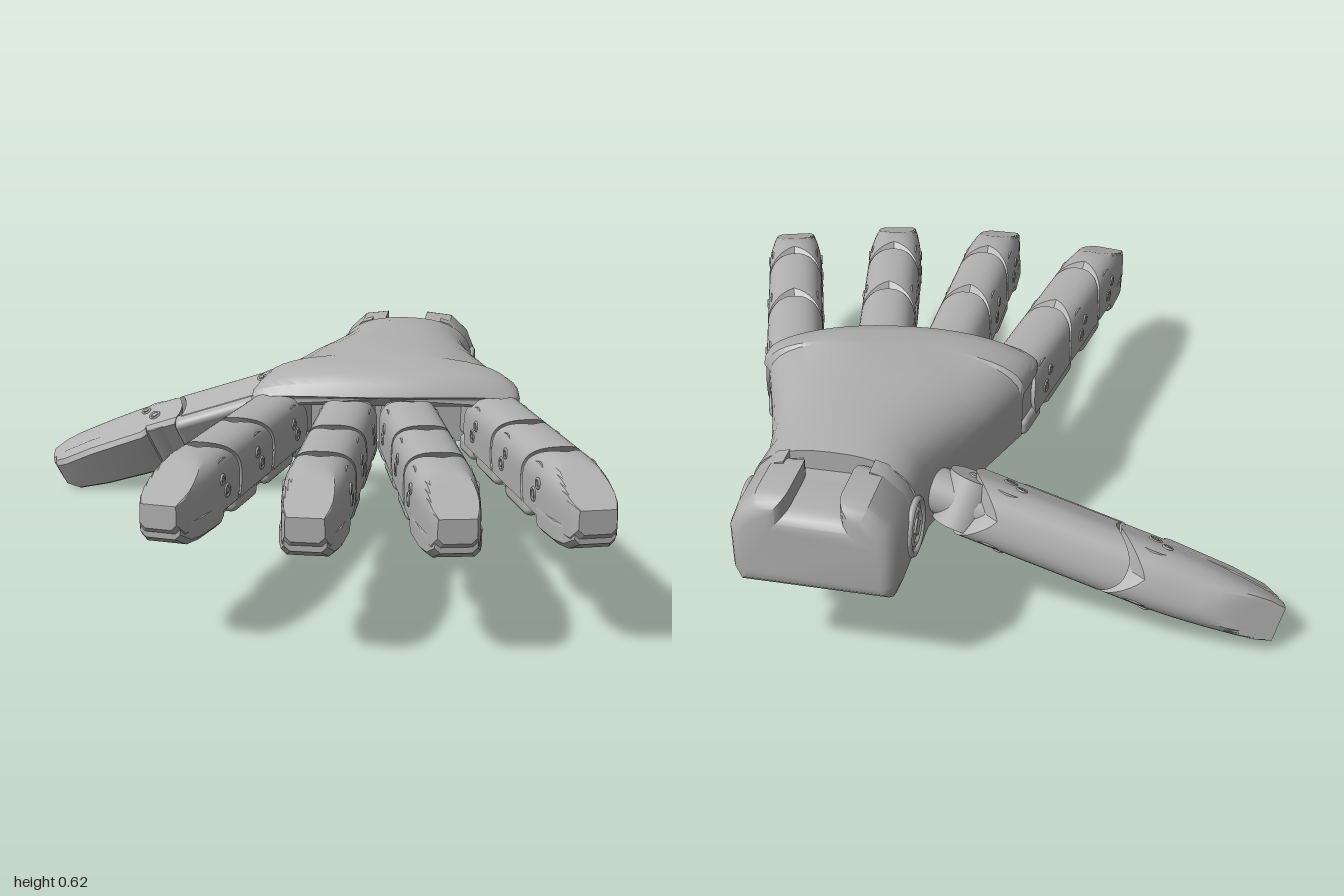
import * as THREE from 'three';
import { toCreasedNormals } from 'three/addons/utils/BufferGeometryUtils.js';
import { RoundedBoxGeometry } from 'three/addons/geometries/RoundedBoxGeometry.js';

const grey = new THREE.MeshStandardMaterial({ color: 0xb0b0b0 });
grey.name = 'grey plastic';

function add(parent, name, geometry, x = 0, y = 0, z = 0) {
  const mesh = new THREE.Mesh(geometry, grey);
  mesh.name = name;
  mesh.position.set(x, y, z);
  parent.add(mesh);
  return mesh;
}

// Cross-section: domed top, straight sides, chamfered flat bottom.
// zAt(x, y) bends the ring along z, clip limits its height.
function ring({ xl, xr, top, side, bottom, p = 0.8, zAt, clip = 9 }) {
  const pts = [], cx = (xl + xr) / 2, hw = (xr - xl) / 2, c = 0.015;
  const put = (x, y) => {
    y = Math.min(y, clip);
    pts.push(new THREE.Vector3(x, y, zAt(x, y)));
  };
  for (let i = 0; i <= 20; i++) {
    const a = Math.PI * i / 20, co = Math.cos(a);
    put(cx + hw * Math.sign(co) * Math.abs(co) ** p, side + (top - side) * Math.abs(Math.sin(a)) ** p);
  }
  for (let i = 1; i <= 4; i++) put(xl, side + (bottom + c - side) * i / 4);
  put(xl + c, bottom);
  put(xr - c, bottom);
  for (let i = 4; i >= 1; i--) put(xr, side + (bottom + c - side) * i / 4);
  return pts;
}

// Skin over rings ordered along +z, with capped ends
function loft(rings, crease = 0.6) {
  const n = rings[0].length, pos = [], idx = [];
  rings.flat().forEach(v => pos.push(v.x, v.y, v.z));
  for (let i = 0; i < rings.length - 1; i++) {
    for (let j = 0; j < n; j++) {
      const k = (j + 1) % n, a = i * n + j, b = i * n + k;
      idx.push(a, b, a + n, b, b + n, a + n);
    }
  }
  [0, rings.length - 1].forEach((r, end) => {
    const mid = rings[r].reduce((s, v) => s.add(v), new THREE.Vector3()).divideScalar(n);
    const m = pos.length / 3;
    pos.push(mid.x, mid.y, mid.z);
    for (let j = 0; j < n; j++) {
      const a = r * n + j, b = r * n + (j + 1) % n;
      idx.push(m, ...(end ? [a, b] : [b, a]));
    }
  });
  const g = new THREE.BufferGeometry();
  g.setAttribute('position', new THREE.Float32BufferAttribute(pos, 3));
  g.setIndex(idx);
  return toCreasedNormals(g, crease);
}

const alongX = (r, len, sides = 28) => new THREE.CylinderGeometry(r, r, len, sides).rotateZ(Math.PI / 2);
const arc = (r, y) => Math.sqrt(Math.max(0, r * r - y * y));

// Hinge barrel with screws on both sides
function hinge(parent, z, w) {
  add(parent, 'hingeBarrel', alongX(0.08, w * 0.86), 0, 0, z);
  for (const s of [-1, 1]) {
    const x = s * w * 0.5;
    for (const [dy, dz, r] of [[-0.01, 0, 0.017], [0.03, -0.035 + 0.07, 0.013]]) {
      add(parent, 'screwRim', new THREE.TorusGeometry(r, 0.004, 6, 18).rotateY(Math.PI / 2), x, dy, z + dz);
      add(parent, 'screwHead', alongX(r * 0.6, 0.006, 6), x, dy, z + dz);
    }
  }
}

// One link: rounded start round its hinge, hollow end for the next link
function segment(parent, z0, L, w) {
  const base = { xl: -w / 2, xr: w / 2, top: 0.105, side: 0.02, bottom: -0.075 };
  add(parent, 'fingerShell', loft([
    ring({ ...base, zAt: (x, y) => z0 - arc(0.105, y) }),
    ring({ ...base, zAt: () => z0 + 0.02 }),
    ring({ ...base, zAt: () => z0 + L - 0.13 }),
    ring({ ...base, zAt: (x, y) => z0 + L - 0.004 - arc(0.116, y) }),
  ]));
  const len = L - 0.1;
  add(parent, 'gripPad', new RoundedBoxGeometry(w * 0.98, 0.065, len, 3, 0.022), 0, -0.07, z0 + 0.025 + len / 2);
  hinge(parent, z0, w);
}

// Last link: tapered, with a flat slanted nail face
function fingertip(parent, z0, L, w) {
  const rings = [ring({ xl: -w / 2, xr: w / 2, top: 0.105, side: 0.02, bottom: -0.075, zAt: (x, y) => z0 - arc(0.105, y) })];
  const nail = L - 0.21;
  for (let i = 0; i <= 8; i++) {
    const z = 0.02 + (L - 0.02) * i / 8, t = i / 8;
    const hw = w / 2 * (1 - 0.36 * t ** 1.8) - (i === 8 ? 0.006 : 0);
    rings.push(ring({
      xl: -hw, xr: hw, top: 0.105 - 0.02 * t, side: 0.02 - 0.03 * t, bottom: -0.075 + (i === 8 ? 0.03 : 0),
      clip: 0.105 - Math.max(0, z - nail) * 0.4, zAt: () => z0 + z,
    }));
  }
  add(parent, 'fingertipShell', loft(rings, 0.45));
  const pad = [[0.03, 1, -0.09], [0.05, 1, -0.102], [L * 0.6, 0.92, -0.102], [L - 0.06, 0.78, -0.1], [L - 0.015, 0.62, -0.075]];
  add(parent, 'fingertipPad', loft(pad.map(([z, k, b]) => ring({
    xl: -w / 2 * k, xr: w / 2 * k, top: -0.03, side: -0.04, bottom: b, zAt: () => z0 + z,
  }))));
  hinge(parent, z0, w);
}

function finger(name, lengths, w) {
  const g = new THREE.Group();
  g.name = name;
  let z = 0;
  lengths.forEach((L, i) => {
    (i < lengths.length - 1 ? segment : fingertip)(g, z, L, w);
    z += L;
  });
  return g;
}

// Wrist slice with a slot in its top
function wristSlice(slotL, slotR, depth, bevel) {
  const shape = new THREE.Shape([
    [0.06, 0.28], [0.49, 0.28], [0.51, 0.33], [0.51, 0.46], [0.485, 0.52], [0.43, 0.572], [slotR, 0.582], [slotR, 0.53],
    [slotL, 0.53], [slotL, 0.582], [0.12, 0.572], [0.065, 0.52], [0.04, 0.46], [0.04, 0.33],
  ].map(([x, y]) => new THREE.Vector2(x, y)));
  return toCreasedNormals(new THREE.ExtrudeGeometry(shape, {
    depth, bevelEnabled: bevel > 0, bevelThickness: bevel, bevelSize: bevel * 0.8, bevelOffset: -bevel * 0.8, bevelSegments: 4,
  }), 0.6);
}

export function createModel() {
  const hand = new THREE.Group();
  hand.name = 'roboticHand';

  // Palm shell: z, left, right, top, shoulder height, bottom, front curve
  const palm = [
    [-0.77, 0.04, 0.51, 0.592, 0.44, 0.28, 0], [-0.66, 0.04, 0.505, 0.6, 0.43, 0.28, 0],
    [-0.55, 0.01, 0.53, 0.6, 0.42, 0.28, 0], [-0.38, -0.06, 0.585, 0.598, 0.42, 0.28, 0],
    [-0.37, -0.065, 0.59, 0.598, 0.42, 0.3, 0], [-0.17, -0.135, 0.655, 0.585, 0.43, 0.3, 0.1],
    [-0.16, -0.138, 0.658, 0.583, 0.47, 0.44, 0.1], [-0.06, -0.15, 0.68, 0.572, 0.465, 0.44, 0.35],
    [0.0, -0.155, 0.685, 0.555, 0.465, 0.44, 0.4], [0.03, -0.152, 0.68, 0.53, 0.465, 0.445, 0.4],
    [0.048, -0.145, 0.67, 0.49, 0.465, 0.45, 0.4],
  ];
  add(hand, 'palmShell', loft(palm.map(([z, xl, xr, top, side, bottom, k]) => ring({
    xl, xr, top, side, bottom, p: 0.82, zAt: x => z - k * (x - 0.14) ** 2,
  })), 0.5));

  // Wrist with T-shaped slot
  add(hand, 'wristBlock', wristSlice(0.2, 0.34, 0.12, 0.06), 0, 0, -0.94);
  add(hand, 'wristSlotBar', wristSlice(0.155, 0.395, 0.06, 0), 0, 0, -0.825);

  // Round wrist pivots
  for (const [x, s] of [[0.51, 1], [0.04, -1]]) {
    add(hand, 'pivotRim', new THREE.TorusGeometry(0.076, 0.01, 8, 36).rotateY(Math.PI / 2), x, 0.4, -0.8);
    add(hand, 'pivotRing', new THREE.TorusGeometry(0.048, 0.008, 8, 30).rotateY(Math.PI / 2), x, 0.4, -0.8);
    add(hand, 'pivotDiamond', alongX(0.03, 0.012, 4), x + s * 0.002, 0.4, -0.8);
  }
  add(hand, 'wristPeg', alongX(0.045, 0.025), 0.498, 0.285, -0.8);
  add(hand, 'wristPegScrew', alongX(0.018, 0.03, 6), 0.498, 0.285, -0.8);

  // Four fingers: x, z, spread angle, link lengths
  [
    ['indexFinger', -0.085, 0.045, -0.17, [0.34, 0.29, 0.28]],
    ['middleFinger', 0.155, 0.085, 0, [0.34, 0.29, 0.28]],
    ['ringFinger', 0.36, 0.06, 0.2, [0.34, 0.29, 0.28]],
    ['littleFinger', 0.63, -0.02, 0.305, [0.315, 0.305, 0.265]],
  ].forEach(([name, x, z, angle, lengths]) => {
    const f = finger(name, lengths, 0.18);
    f.position.set(x, 0.38, z);
    f.rotation.y = angle;
    // Knuckle mount and pad under the palm
    add(f, 'knuckleMount', new RoundedBoxGeometry(0.15, 0.14, 0.2, 2, 0.02), 0, 0.015, -0.12);
    add(f, 'palmPad', new RoundedBoxGeometry(0.175, 0.06, 0.14, 3, 0.02), 0, -0.07, -0.1);
    hand.add(f);
  });

  // Thumb points sideways and down, its back rolled towards the wrist
  const thumb = finger('thumb', [0.44, 0.41], 0.185);
  const along = new THREE.Vector3(-0.95, -0.31, 0).normalize();
  const back = new THREE.Vector3(-along.y * -1, -along.x, 0).multiplyScalar(0.42).add(new THREE.Vector3(0, 0, -0.907)).normalize();
  const across = new THREE.Vector3().crossVectors(back, along);
  thumb.quaternion.setFromRotationMatrix(new THREE.Matrix4().makeBasis(across, back, along));
  thumb.position.set(-0.15, 0.32, -0.59);
  add(thumb, 'thumbNeck', new THREE.CylinderGeometry(0.07, 0.065, 0.22, 24).rotateX(Math.PI / 2), 0, 0, -0.13);
  add(thumb, 'thumbBaseHinge', alongX(0.075, 0.15), 0, 0, -0.1);
  add(thumb, 'thumbBaseScrew', alongX(0.02, 0.16, 6), 0, 0, -0.1);
  hand.add(thumb);
  return hand;
}
